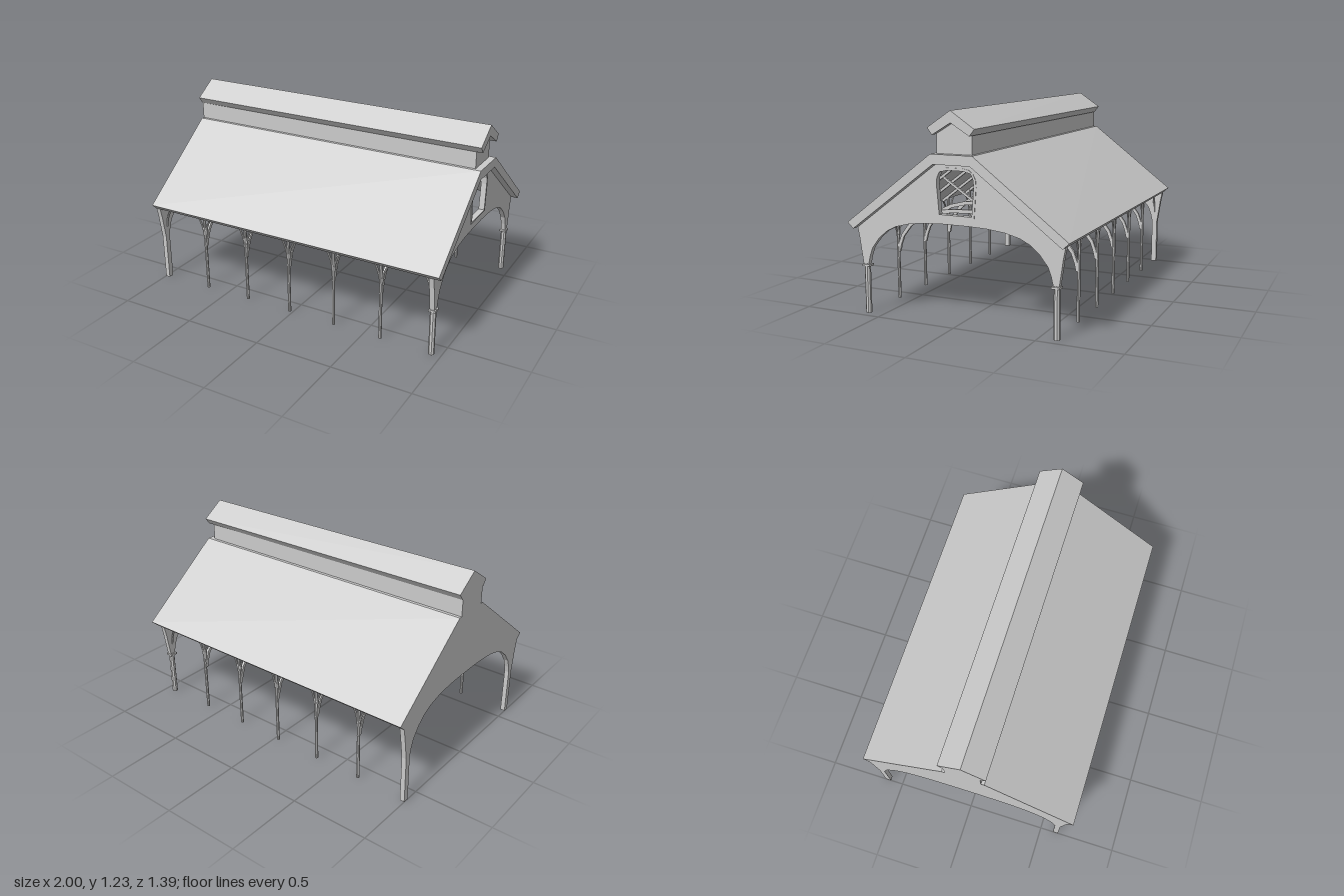
import * as THREE from 'three';

const mat = new THREE.MeshStandardMaterial({ color: 0xcccccc, flatShading: true });

// Half of the arch underside and of the leg's outer edge, as [z, y]
const ARCH = [[0.585, 0.3], [0.575, 0.345], [0.555, 0.4], [0.505, 0.465], [0.45, 0.51], [0.39, 0.54], [0.3, 0.563], [0.2, 0.575], [0.08, 0.58]];
const LEG = [[0.62, 0.3], [0.632, 0.38], [0.642, 0.45], [0.655, 0.515]];
const POST_Z = 0.6;

const mirrored = (half) => [...half, ...half.map(([z, y]) => [-z, y]).reverse()];
const toShape = (pts) => new THREE.Shape(pts.map(([z, y]) => new THREE.Vector2(z, y)));

function add(group, name, geometry) {
  const mesh = new THREE.Mesh(geometry, mat);
  mesh.name = name;
  group.add(mesh);
  return mesh;
}

// Extrude a z-y profile from x0 to x1
function slab(shape, x0, x1) {
  const g = new THREE.ExtrudeGeometry(shape, { depth: x1 - x0, bevelEnabled: false, curveSegments: 8 });
  return g.rotateY(Math.PI / 2).translate(x0, 0, 0);
}

// The ridges sink very slightly towards +x
function sag(g) {
  const p = g.attributes.position;
  for (let i = 0; i < p.count; i++) {
    const k = Math.max(0, p.getY(i) - 0.55) / 0.67;
    p.setY(i, p.getY(i) - 0.005 * (p.getX(i) + 1) * k);
  }
  g.computeVertexNormals();
  return g;
}

// Square bar between two z-y points at a given x
function bar(group, name, x, [z0, y0], [z1, y1], w) {
  const m = add(group, name, new THREE.BoxGeometry(w, w, Math.hypot(z1 - z0, y1 - y0)));
  m.position.set(x, (y0 + y1) / 2, (z0 + z1) / 2);
  m.rotation.x = -Math.atan2(y1 - y0, z1 - z0);
}

function post(group, name, x, z, r, y0, y1) {
  const g = new THREE.CylinderGeometry(r, r, y1 - y0, 8).rotateY(Math.PI / 8);
  add(group, name, g).position.set(x, (y0 + y1) / 2, z);
}

// Curved knee brace running from a post up to the eave
function brace(group, x, z, dir) {
  const curve = new THREE.QuadraticBezierCurve3(
    new THREE.Vector3(x + dir * 0.006, 0.37, z),
    new THREE.Vector3(x + dir * 0.012, 0.46, z),
    new THREE.Vector3(x + dir * 0.07, 0.53, z));
  add(group, 'kneeBrace', new THREE.TubeGeometry(curve, 8, 0.006, 6));
}

// Window outline, inset by d
function windowPoints(d) {
  return mirrored([[0.117 - d, 0.625 + d * 0.6], [0.131 - d, 0.8], [0.128 - d, 0.84], [0.112 - d, 0.874], [0.086 - d * 0.7, 0.893 - d], [0.05, 0.9 - d]]);
}

function gableShape() {
  // outer edge up one side, over the top, down the other, then the arch back
  const outer = mirrored([...LEG, [0.115, 0.925]]);
  return toShape([...outer, ...mirrored(ARCH).reverse()]);
}

export function createModel() {
  const model = new THREE.Group();
  model.name = 'marketHall';

  // Main roof and raised ridge monitor
  add(model, 'mainRoof', sag(slab(toShape([
    ...mirrored([[0.655, 0.515], [0.693, 0.55], [0.13, 0.983]]),
    ...mirrored([[0.115, 0.925]]).reverse(),
  ]), -1, 1)));
  add(model, 'monitorWalls', sag(slab(toShape(
    mirrored([[0.11, 0.97], [0.11, 1.095], [0, 1.165]]).filter((p, i) => i !== 3)), -1, 0.96)));
  add(model, 'monitorRoof', sag(slab(toShape([
    [0.115, 1.09], [0.145, 1.13], [0, 1.228], [-0.145, 1.13], [-0.115, 1.09], [0, 1.16],
  ]), -1, 1)));

  // Plain gable at one end, windowed gable at the other
  add(model, 'plainGable', slab(gableShape(), -1, -0.97));
  const pierced = gableShape();
  pierced.holes.push(new THREE.Path(toShape(windowPoints(0)).getPoints()));
  add(model, 'windowGable', slab(pierced, 0.925, 0.955));
  const frame = toShape(windowPoints(0));
  frame.holes.push(new THREE.Path(toShape(windowPoints(0.015)).getPoints()));
  add(model, 'windowFrame', slab(frame, 0.922, 0.958));

  // Gable posts; the windowed end carries collars
  for (const s of [-1, 1]) {
    const z = s * POST_Z;
    const corner = add(model, 'cornerPost', new THREE.BoxGeometry(0.03, 0.3, 0.035));
    corner.position.set(-0.985, 0.15, z + s * 0.0025);
    post(model, 'cornerPost', 0.94, z + s * 0.0025, 0.0185, 0, 0.3);
    const collar = add(model, 'postCollar', new THREE.BoxGeometry(0.045, 0.012, 0.05));
    collar.position.set(0.94, 0.291, z);
    brace(model, -0.975, z, 1);
    brace(model, 0.93, z, -1);
  }

  // Intermediate frames: posts, arched rib, rafters and fan struts
  const ribTop = ARCH.map(([z, y], i) => [z + 0.022 * (1 - i / 8), y + 0.022 * Math.min(1, i / 4)]);
  const rib = toShape([...mirrored(ribTop), ...mirrored(ARCH).reverse()]);
  for (let i = 0; i < 5; i++) {
    const x = -0.655 + i * 0.316;
    const truss = new THREE.Group();
    truss.name = 'truss';
    add(truss, 'archedRib', slab(rib, x - 0.008, x + 0.008));
    for (const s of [-1, 1]) {
      post(truss, 'post', x, s * POST_Z, 0.01, 0, 0.55);
      bar(truss, 'rafter', x, [s * 0.64, 0.516], [s * 0.11, 0.918], 0.016);
      bar(truss, 'strut', x, [0, 0.612], [s * 0.28, 0.795], 0.014);
      brace(truss, x, s * POST_Z, 1);
      brace(truss, x, s * POST_Z, -1);
    }
    model.add(truss);
  }
  return model;
}
